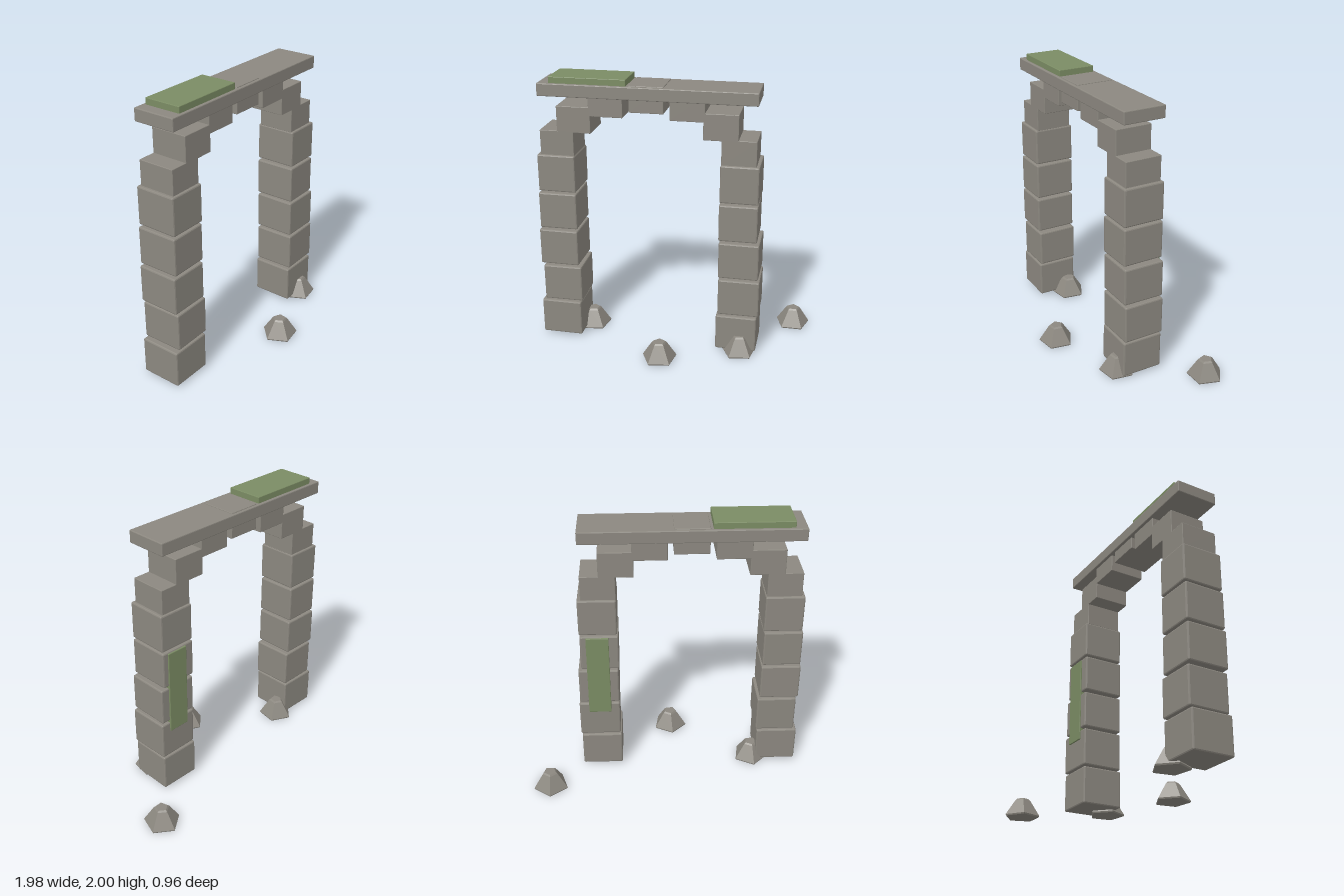
import * as THREE from 'three';
import { RoundedBoxGeometry } from 'three/addons/geometries/RoundedBoxGeometry.js';

function flat(geometry) {
  const g = geometry.index ? geometry.toNonIndexed() : geometry;
  g.computeVertexNormals();
  return g;
}

export function createModel() {
  const model = new THREE.Group();
  model.name = 'stoneArch';
  const stone = new THREE.MeshStandardMaterial({ color: 0x8c8880 });
  stone.name = 'stone';
  const moss = new THREE.MeshStandardMaterial({ color: 0x7b8c64 });
  moss.name = 'moss';

  // Chamfered block given by its extents on each axis
  function block(name, material, [x0, x1], [y0, y1], [z0, z1], bevel = 0.004, yaw = 0) {
    const g = flat(new RoundedBoxGeometry(x1 - x0, y1 - y0, z1 - z0, 1, bevel));
    const mesh = new THREE.Mesh(g, material);
    mesh.name = name;
    mesh.position.set((x0 + x1) / 2, (y0 + y1) / 2, (z0 + z1) / 2);
    mesh.rotation.y = yaw;
    model.add(mesh);
  }

  // Pillars: five slightly shifted blocks each
  const courses = [[0.02, 0.29], [0.305, 0.58], [0.597, 0.867], [0.885, 1.155], [1.17, 1.442]];
  const pillars = {
    rightPillar: [[-0.993, -0.692], [-0.967, -0.68], [-0.981, -0.695], [-0.972, -0.695], [-0.965, -0.691]],
    leftPillar: [[0.33, 0.627], [0.34, 0.637], [0.34, 0.628], [0.335, 0.608], [0.34, 0.61]],
  };
  for (const [name, spans] of Object.entries(pillars)) {
    spans.forEach((span, i) =>
      block(`${name}Block${i + 1}`, stone, span, courses[i], [-0.13, 0.171], 0.01, i % 2 ? 0.008 : -0.008));
  }

  // Corbelled arch stones, mirrored about the arch centre, and the keystone
  const centre = -0.177;
  const depth = [-0.115, 0.153];
  const steps = [
    [0.52, 0.763, 1.437, 1.62],
    [0.394, 0.636, 1.61, 1.797],
    [0.164, 0.406, 1.733, 1.915],
  ];
  steps.forEach(([a, b, y0, y1], i) => {
    block(`leftArchStone${i + 1}`, stone, [centre + a, centre + b], [y0, y1], depth);
    block(`rightArchStone${i + 1}`, stone, [centre - b, centre - a], [y0, y1], depth);
  });
  block('keystone', stone, [-0.297, -0.055], [1.775, 1.961], depth);

  // Lintel slab and moss patches
  block('lintel', stone, [-0.94, 0.588], [1.865, 1.955], [-0.136, 0.173], 0.006);
  block('topMoss', moss, [-0.858, -0.315], [1.945, 2.0], depth);
  block('pillarMoss', moss, [0.403, 0.565], [0.51, 1.145], [-0.14, -0.105]);

  // Five-sided loose rocks with chamfered rims
  const profile = [[0, 0], [0.125, 0], [0.13, 0.01], [0.056, 0.127], [0.044, 0.138], [0, 0.138]]
    .map(([r, y]) => new THREE.Vector2(r, y));
  const rockGeometry = flat(new THREE.LatheGeometry(profile, 5));
  const rocks = [[-0.66, -0.063, 0.147], [-0.052, 0.358, 0.147], [0.505, 0.154, 0.147], [0.866, -0.356, 0]];
  rocks.forEach(([x, z, turn], i) => {
    const rock = new THREE.Mesh(rockGeometry, stone);
    rock.name = `rock${i + 1}`;
    rock.position.set(x, 0, z);
    rock.rotation.y = Math.PI + turn;
    model.add(rock);
  });

  return model;
}
